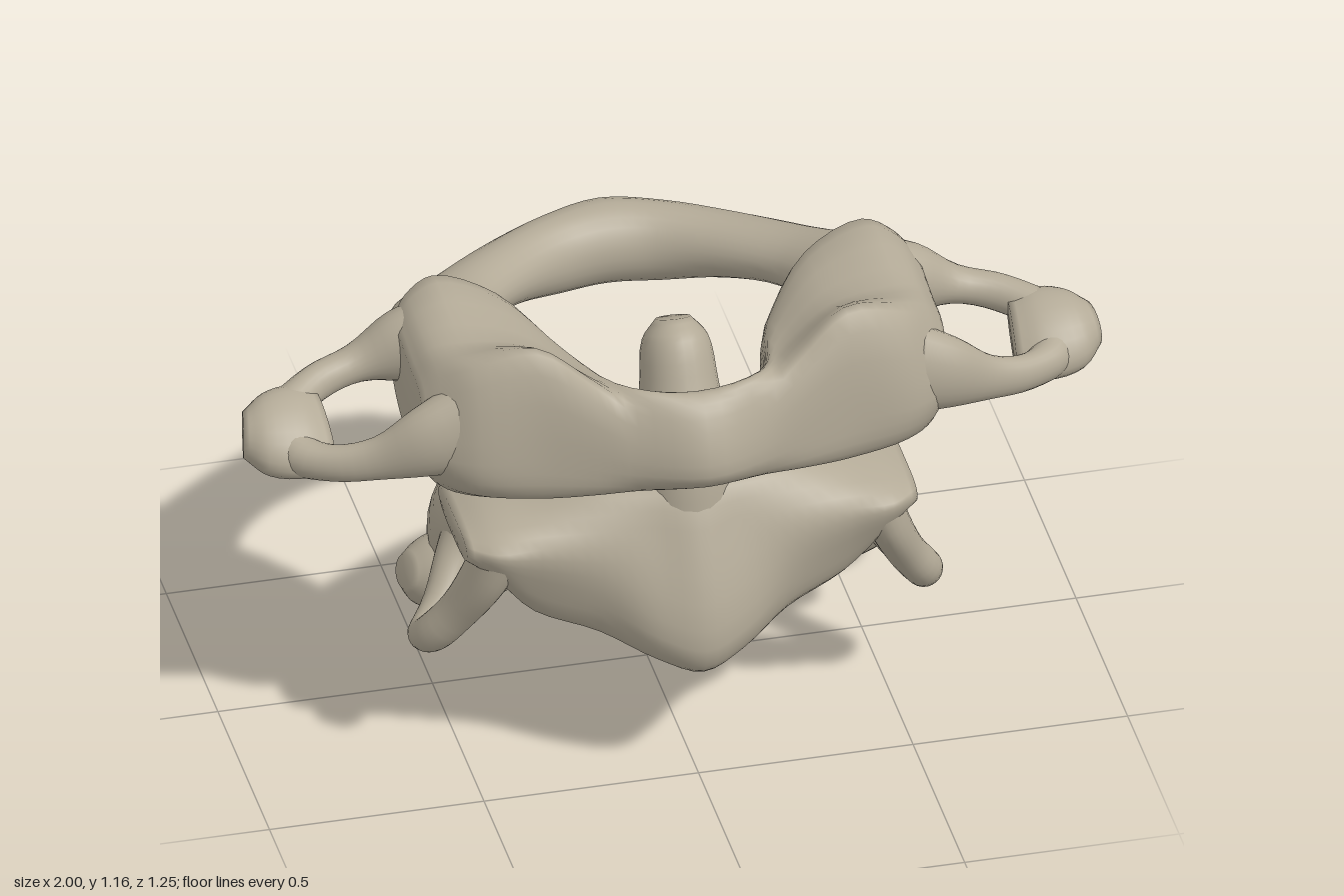
import * as THREE from 'three';

const V = (x, y, z) => new THREE.Vector3(x, y, z);
const curve = (pts, closed = false) => new THREE.CatmullRomCurve3(pts, closed, 'centripetal');

// Smooth skin through a row of closed rings, capped at both ends
function loft(rings, around = 24, steps = 4) {
  const loops = rings.map(r => {
    const c = curve(r, true);
    return Array.from({ length: around }, (_, j) => c.getPoint(j / around));
  });
  const rows = (rings.length - 1) * steps + 1;
  const columns = Array.from({ length: around }, (_, j) => {
    const c = curve(loops.map(l => l[j]));
    return Array.from({ length: rows }, (_, i) => c.getPoint(i / (rows - 1)));
  });
  const pos = [], index = [];
  for (let i = 0; i < rows; i++) for (let j = 0; j < around; j++) pos.push(...columns[j][i].toArray());
  for (let i = 0; i < rows - 1; i++) {
    for (let j = 0; j < around; j++) {
      const k = (j + 1) % around, a = i * around, b = a + around;
      index.push(a + j, a + k, b + j, a + k, b + k, b + j);
    }
  }
  for (const i of [0, rows - 1]) {
    const mid = columns.reduce((s, c) => s.add(c[i]), V(0, 0, 0)).divideScalar(around);
    const m = pos.push(...mid.toArray()) / 3 - 1;
    for (let j = 0; j < around; j++) {
      const p = i * around + j, q = i * around + (j + 1) % around;
      index.push(...(i ? [m, p, q] : [m, q, p]));
    }
  }
  // Turn the faces outward if the enclosed volume is negative
  const at = n => V(pos[3 * n], pos[3 * n + 1], pos[3 * n + 2]);
  let volume = 0;
  for (let t = 0; t < index.length; t += 3) volume += at(index[t]).dot(at(index[t + 1]).cross(at(index[t + 2])));
  if (volume < 0) index.reverse();
  const geo = new THREE.BufferGeometry();
  geo.setAttribute('position', new THREE.Float32BufferAttribute(pos, 3));
  geo.setIndex(index);
  geo.computeVertexNormals();
  return geo;
}

// Rounded bar along stations [x, y, z, half width, half height]
function bar(stations, up = V(0, 1, 0)) {
  const path = curve(stations.map(s => V(s[0], s[1], s[2])));
  return loft(stations.map(([x, y, z, w, h], i) => {
    const t = path.getTangent(i / (stations.length - 1));
    const side = t.clone().cross(up).normalize();
    const rise = side.clone().cross(t).normalize();
    return Array.from({ length: 12 }, (_, j) => {
      const a = j / 12 * Math.PI * 2;
      return V(x, y, z).addScaledVector(side, w * Math.cos(a)).addScaledVector(rise, h * Math.sin(a));
    });
  }));
}

// Repeat stations that start on the centre line on the other side
const mirrored = list => [...list.slice(1).reverse().map(([x, ...rest]) => [-x, ...rest]), ...list];

// Block from (z, y) outlines placed along x
const block = sections => loft(mirrored(sections).map(([x, ...o]) => o.map(([z, y]) => V(x, y, z))), 32);

function mirrorGeometry(geo) {
  const g = geo.clone().scale(-1, 1, 1);
  g.index.array.reverse();
  g.computeVertexNormals();
  return g;
}

export function createModel() {
  const bone = new THREE.MeshStandardMaterial({ color: 0xb3aa97 });
  bone.name = 'bone';
  const model = new THREE.Group();
  const upper = new THREE.Group(), lower = new THREE.Group();
  upper.name = 'upperVertebra';
  lower.name = 'lowerVertebra';
  model.add(upper, lower);

  const add = (group, name, geo) => {
    const mesh = new THREE.Mesh(geo, bone);
    mesh.name = name;
    group.add(mesh);
  };
  const addPair = (group, name, geo) => {
    add(group, name + 'Left', geo);
    add(group, name + 'Right', mirrorGeometry(geo));
  };

  // Upper vertebra: front arch widening into the two side masses
  add(upper, 'frontArchAndSideMasses', block([
    [0, [.58, .83], [.62, .88], [.58, 1.01], [.53, 1.05], [.49, 1.03], [.48, .95], [.49, .86], [.53, .83]],
    [.15, [.53, .81], [.56, .87], [.53, 1.02], [.49, 1.06], [.45, 1.03], [.43, .95], [.44, .85], [.49, .81]],
    [.24, [.51, .8], [.53, .88], [.49, 1.08], [.34, 1.03], [.17, .98], [.13, .92], [.15, .83], [.33, .79]],
    [.36, [.48, .79], [.5, .9], [.45, 1.16], [.28, 1.08], [.03, 1.06], [-.01, .95], [.05, .81], [.25, .76]],
    [.5, [.45, .8], [.48, .9], [.41, 1.12], [.27, 1.1], [0, 1.11], [-.03, .98], [.05, .78], [.22, .73]],
    [.57, [.4, .81], [.44, .9], [.36, 1.07], [.25, 1.08], [.02, 1.08], [0, .97], [.08, .79], [.22, .74]],
    [.61, [.36, .86], [.4, .91], [.33, 1.02], [.24, 1.03], [.06, 1.04], [.03, .97], [.1, .87], [.22, .83]],
  ]));
  add(upper, 'rearArch', bar(mirrored([
    [0, .86, -.42, .09, .1], [.13, .86, -.39, .08, .095], [.26, .88, -.31, .08, .075],
    [.39, .91, -.18, .09, .065], [.48, .94, -.03, .125, .085], [.48, .95, .1, .12, .09],
  ])));
  // Side wing: two bars around an opening, joined by a blunt tip
  addPair(upper, 'sideWing', bar([
    [.5, 1, .09, .11, .1], [.6, .98, .075, .075, .085], [.7, .95, .075, .045, .045], [.8, .93, .105, .04, .045],
    [.89, .9, .18, .05, .05], [.88, .86, .27, .05, .05], [.81, .86, .33, .035, .045], [.71, .88, .365, .035, .055],
    [.61, .92, .385, .055, .09], [.5, .95, .38, .07, .12],
  ]));
  addPair(upper, 'sideWingTip', bar([
    [.8, .88, .21, .09, .035], [.86, .88, .215, .115, .06], [.94, .88, .21, .1, .065], [.99, .88, .2, .055, .045],
  ], V(0, 1, .6)));

  // Lower vertebra: body with its shoulder-like joint surfaces
  add(lower, 'body', block([
    [0, [.55, .31], [.59, .39], [.53, .62], [.44, .77], [.24, .74], [.2, .6], [.24, .38], [.42, .33]],
    [.1, [.52, .34], [.56, .42], [.5, .64], [.43, .76], [.23, .74], [.2, .6], [.24, .38], [.4, .34]],
    [.22, [.45, .39], [.49, .48], [.49, .64], [.4, .75], [.17, .74], [.15, .6], [.2, .41], [.34, .38]],
    [.36, [.41, .44], [.46, .53], [.48, .65], [.36, .71], [.11, .7], [.07, .61], [.12, .48], [.28, .45]],
    [.46, [.43, .56], [.47, .6], [.48, .65], [.32, .69], [.12, .67], [.08, .62], [.13, .57], [.28, .57]],
    [.525, [.42, .61], [.44, .63], [.43, .65], [.3, .66], [.17, .65], [.16, .63], [.19, .61], [.3, .6]],
  ]));
  add(lower, 'peg', bar([
    [0, .64, .37, .12, .13], [0, .79, .36, .11, .12], [0, .94, .31, .09, .1],
    [0, 1.04, .27, .075, .085], [0, 1.08, .25, .04, .045],
  ], V(0, 0, 1)));
  add(lower, 'rearArch', bar(mirrored([
    [0, .31, -.29, .09, .15], [.13, .32, -.265, .085, .15], [.28, .34, -.17, .085, .15],
    [.4, .38, -.03, .1, .15], [.405, .49, .07, .11, .13], [.38, .58, .17, .09, .09],
  ])));
  addPair(lower, 'lowerJoint', bar([
    [.24, .33, -.1, .07, .14], [.36, .32, -.03, .085, .14], [.45, .31, 0, .085, .13],
    [.53, .32, .01, .07, .09], [.57, .33, .02, .04, .04],
  ], V(0, 1, .45)));
  add(lower, 'spine', bar([
    [0, .3, -.27, .2, .13], [0, .26, -.36, .12, .145], [0, .19, -.47, .085, .135],
    [0, .12, -.545, .095, .09], [0, .015, -.57, .08, .05],
  ]));
  // Side loop: a broad front root, a low tip and a rear root
  addPair(lower, 'sideLoop', bar([
    [.43, .64, .4, .08, .06], [.47, .54, .385, .07, .05], [.52, .43, .345, .05, .045], [.57, .35, .305, .045, .045],
    [.58, .32, .26, .04, .04], [.53, .36, .2, .04, .04], [.47, .45, .13, .05, .05], [.41, .56, .1, .07, .06],
  ], V(1, 0, 0)));

  return model;
}
